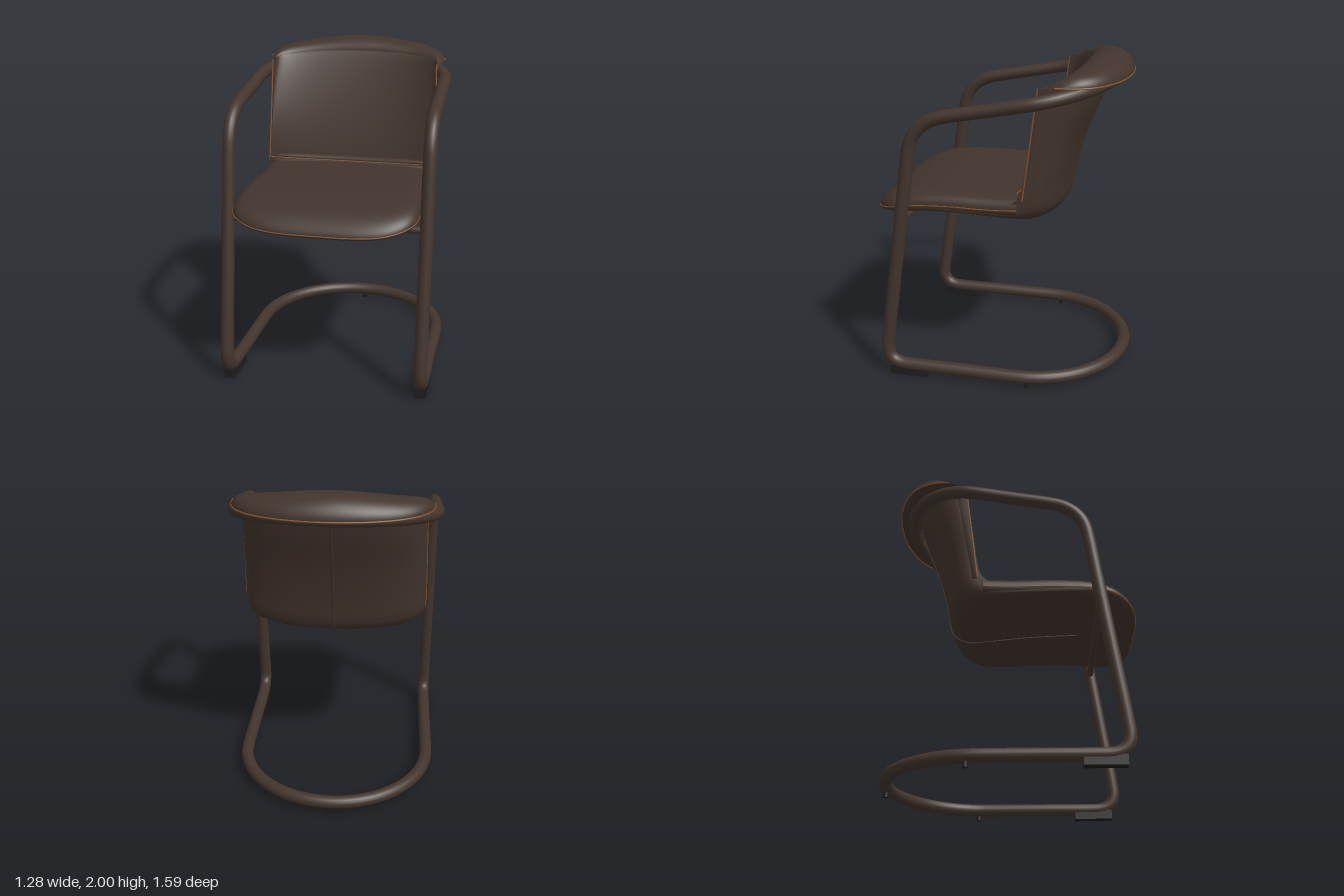
import * as THREE from 'three';

const V = (x, y, z) => new THREE.Vector3(x, y, z);
const lerp = THREE.MathUtils.lerp;

// Closed cushion: two surfaces over u (-1..1) and v (0..1), joined in one ring per column.
function slab(outer, inner, nu = 48, nv = 24) {
  const pos = [], idx = [], ring = 2 * nv;
  for (let i = 0; i <= nu; i++) {
    const u = Math.sin((i / nu - 0.5) * Math.PI);
    for (let j = 0; j < ring; j++) {
      const t = j <= nv ? j / nv : (ring - j) / nv;
      const v = (1 - Math.cos(t * Math.PI)) / 2;
      pos.push(...(j <= nv ? outer : inner)(u, v).toArray());
    }
  }
  for (let i = 0; i < nu; i++) {
    for (let j = 0; j < ring; j++) {
      const a = i * ring + j, b = i * ring + (j + 1) % ring;
      idx.push(a, b, a + ring, b, b + ring, a + ring);
    }
  }
  const g = new THREE.BufferGeometry();
  g.setAttribute('position', new THREE.Float32BufferAttribute(pos, 3));
  g.setIndex(idx);
  g.computeVertexNormals();
  return g;
}

function tube(points, radius, segments, closed = false) {
  const curve = new THREE.CatmullRomCurve3(points, closed, 'centripetal');
  curve.arcLengthDivisions = 1200;
  return new THREE.TubeGeometry(curve, segments, radius, radius > 0.02 ? 18 : 6, closed);
}

// Smooth curve through [y, z] pairs in the side plane
const sideCurve = pts => new THREE.CatmullRomCurve3(pts.map(([y, z]) => V(0, y, z)), false, 'centripetal');
const cosOf = u => Math.sqrt(Math.max(0, 1 - u * u));

export function createModel() {
  const model = new THREE.Group();
  const leather = new THREE.MeshStandardMaterial({ color: 0x42342c, side: THREE.DoubleSide });
  leather.name = 'brown leather';
  const metal = new THREE.MeshStandardMaterial({ color: 0x43352d });
  metal.name = 'bronze metal';
  const rubber = new THREE.MeshStandardMaterial({ color: 0x1f1d1c });
  rubber.name = 'dark rubber';
  const thread = new THREE.MeshStandardMaterial({ color: 0x84522d });
  thread.name = 'tan thread';
  const add = (name, geometry, material, x = 0, y = 0, z = 0) => {
    const mesh = new THREE.Mesh(geometry, material);
    mesh.name = name;
    mesh.position.set(x, y, z);
    model.add(mesh);
  };

  // Continuous frame: base loop, legs, arms and back loop
  const X = 0.6, half = [];
  const bend = (a, c, b) => half.push(...new THREE.QuadraticBezierCurve3(a, c, b).getPoints(7));
  for (let i = 0; i <= 12; i++) {
    const a = i / 12 * Math.PI / 2;
    half.push(V(X * Math.sin(a), 0.067, -0.155 - X * Math.cos(a)));
  }
  half.push(V(X, 0.067, 0.2));
  bend(V(X, 0.067, 0.54), V(X, 0.067, 0.686), V(X, 0.21, 0.666));
  half.push(V(X, 0.7, 0.596), V(X, 1.2, 0.524));
  bend(V(X, 1.45, 0.488), V(X, 1.648, 0.46), V(X, 1.687, 0.265));
  half.push(V(X, 1.737, 0));
  for (let i = 12; i >= 0; i--) {
    const a = i / 12 * Math.PI / 2, z = -0.2 - 0.46 * Math.cos(a);
    half.push(V(X * Math.sin(a), 1.737 - 0.19 * z, z));
  }
  const mirrored = half.slice(1, -1).reverse().map(p => V(-p.x, p.y, p.z));
  add('tubularFrame', tube([...half, ...mirrored], 0.04, 480, true), metal);
  const bar = new THREE.CylinderGeometry(0.022, 0.022, 1.18, 16).rotateZ(Math.PI / 2);
  add('seatCrossBar', bar, metal, 0, 1.034, 0.545);

  // Floor pads and studs
  for (const s of [-1, 1]) {
    add('frontFloorPad', new THREE.BoxGeometry(0.066, 0.06, 0.24), rubber, s * X, 0.03, 0.53);
    add('sideStud', new THREE.CylinderGeometry(0.016, 0.016, 0.05, 12), rubber, s * X, 0.025, -0.23);
  }
  add('rearStud', new THREE.CylinderGeometry(0.016, 0.016, 0.05, 12), rubber, 0, 0.025, -0.755);

  // Seat cushion with rounded, drooping front edge
  const droop = sideCurve([[1.145, -0.26], [1.13, 0], [1.13, 0.3], [1.115, 0.52], [1.08, 0.68], [1.038, 0.79]]);
  const droopPts = droop.getPoints(80);
  const midY = z => {
    const i = Math.max(1, droopPts.findIndex(p => p.z >= z));
    const a = droopPts[i - 1], b = droopPts[i];
    return lerp(a.y, b.y, (z - a.z) / (b.z - a.z));
  };
  const seat = lift => (u, v) => {
    const front = 0.55 + 0.239 * Math.sqrt(Math.max(0, 1 - Math.abs(u) ** 3.7));
    const z = lerp(-0.15 - 0.08 * (1 - u * u), front, v);
    const puff = Math.sqrt(Math.max(0, (1 - u ** 14) * (1 - v ** 10)));
    return V(0.557 * u, midY(z) + lift * puff, z);
  };
  add('seatCushion', slab(seat(0.077), seat(-0.058), 56, 32), leather);
  const rim = [];
  for (let i = 0; i <= 10; i++) rim.push(seat(0)(-1, i / 10));
  for (let i = 1; i < 32; i++) rim.push(seat(0)(-Math.cos(i / 32 * Math.PI), 1));
  for (let i = 10; i >= 0; i--) rim.push(seat(0)(1, i / 10));
  add('seatStitching', tube(rim, 0.004, 160), thread);

  // Outer shell wrapping under the seat and up the back
  const centre = sideCurve([[1.072, 0.56], [1.066, 0.35], [1.055, 0.1], [1.032, -0.14], [1.026, -0.28],
    [1.085, -0.372], [1.25, -0.41], [1.5, -0.475], [1.72, -0.56], [1.9, -0.615]]);
  const edge = sideCurve([[1.11, 0.5], [1.12, 0.35], [1.12, 0.1], [1.13, -0.01], [1.155, -0.085],
    [1.215, -0.16], [1.32, -0.19], [1.5, -0.215], [1.7, -0.25], [1.87, -0.27]]);
  const shell = depth => (u, v) => {
    const p = edge.getPoint(v).lerp(centre.getPoint(v), depth * cosOf(u) ** lerp(0.45, 0.72, v));
    return p.setX(lerp(0.558, 0.537, v) * u);
  };
  add('outerShell', slab(shell(1), shell(0.88), 48, 40), leather);
  const seam = [];
  for (let i = 0; i <= 40; i++) seam.push(shell(1)(0, i / 40));
  add('shellSeam', tube(seam, 0.007, 100), leather);

  // Curved back cushion with plump front edges, stitched along both sides
  const back = (low, high, puff) => (u, v) => {
    const t = 1 - v, c = cosOf(u), bow = c ** lerp(1, 0.7, t);
    const y = lerp(1.2 - 0.03 * c, 1.865 + 0.05 * c, t);
    const z = lerp(lerp(-0.185, -0.267, t), lerp(low, high, t), bow);
    const plump = Math.sqrt(Math.max(0, 1 - u ** 10) * Math.sin(Math.PI * t));
    return V(lerp(0.556, 0.54, t) * u, y, z + puff * plump);
  };
  add('backCushion', slab(back(-0.225, -0.465, 0.032), back(-0.33, -0.55, 0)), leather);
  for (const s of [-1, 1]) {
    const side = [0, 0.25, 0.5, 0.75, 1].map(v => back(-0.225, -0.465, 0)(s, v));
    add('backStitching', tube(side, 0.005, 40), thread);
  }

  // Soft tapered rolls in the crease between seat and back
  for (const [y, z, r] of [[1.195, -0.155, 0.03], [1.226, -0.18, 0.022]]) {
    const roll = sign => (u, v) => {
      const taper = r * (1 - u ** 8);
      const a = Math.PI * v;
      return V(0.545 * u, y + 0.012 * u * u + sign * taper * Math.sin(a), z - 0.04 * (1 - u * u) - taper * Math.cos(a));
    };
    add('creaseRoll', slab(roll(1), roll(-1), 32, 8), leather);
  }
  const crease = [-1, -0.6, -0.2, 0.2, 0.6, 1].map(u => V(0.53 * u, 1.222 + 0.012 * u * u, -0.145 - 0.04 * (1 - u * u)));
  add('creaseStitching', tube(crease, 0.004, 40), thread);

  // Headroll folded over the back loop, rising smoothly from the back cushion
  const flap = top => (u, v) => {
    const c = cosOf(u);
    const z = lerp(-0.37 - 0.375 * c ** 0.75, -0.262 - 0.2 * c ** 0.7, v);
    const base = lerp(1.875, 1.85 + 0.05 * c, v);
    const ridge = 1.93 + 0.07 * (1 - Math.abs(u) ** 1.6);
    const crest = top ? ridge - 1.8625 - 0.025 * c : 0.012;
    const hump = 2 * Math.sqrt(Math.max(0, v * (1 - v))) * Math.sqrt(Math.max(0, 1 - u ** 20));
    return V(0.578 * u - 0.038 * u * v, base + crest * hump, z);
  };
  add('headRoll', slab(flap(true), flap(false)), leather);
  const hem = [];
  for (let i = 0; i <= 32; i++) hem.push(flap(false)(-Math.cos(i / 32 * Math.PI), 0));
  add('headRollStitching', tube(hem, 0.005, 90), thread);

  return model;
}
